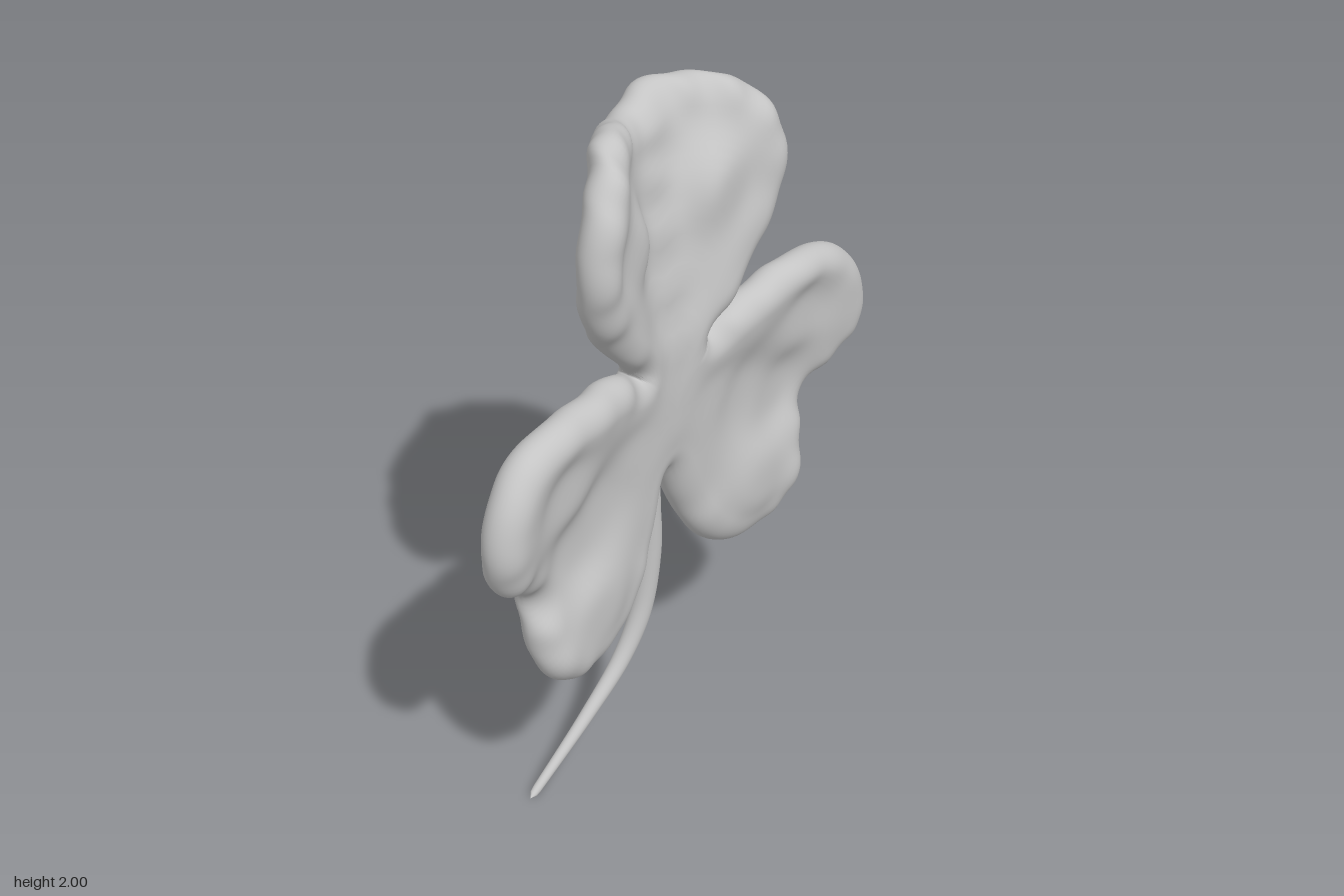
import * as THREE from 'three';

const grey = new THREE.MeshStandardMaterial({ color: 0xc4c4c4 });
grey.name = 'plain grey';

// Rim points (x, y, z), counterclockwise; each leaf starts in a gap and has 17 points
const leftLeaf = [
  [-0.03, 0.94, 0.02], [0.04, 0.8, 0.02], [0.13, 0.64, 0.035], [0.24, 0.555, 0.035],
  [0.36, 0.525, 0.03], [0.47, 0.555, 0.05], [0.54, 0.66, 0.08], [0.565, 0.79, 0.06],
  [0.6, 0.88, 0.02], [0.7, 0.96, 0.07], [0.77, 1.03, 0.1], [0.795, 1.12, 0.105],
  [0.76, 1.24, 0.105], [0.66, 1.34, 0.1], [0.5, 1.38, 0.1], [0.33, 1.365, 0.09], [0.22, 1.335, 0.07],
];
const topLeaf = [
  [0.13, 1.3, 0.04], [0.29, 1.44, 0.05], [0.38, 1.57, 0.07], [0.425, 1.72, 0.08],
  [0.4, 1.85, 0.06], [0.32, 1.94, 0], [0.2, 1.975, -0.07], [0.1, 1.98, -0.115],
  [0, 1.95, -0.1], [-0.06, 1.95, -0.07], [-0.14, 1.985, -0.01], [-0.23, 2, 0.03],
  [-0.33, 1.95, 0.09], [-0.4, 1.84, 0.11], [-0.42, 1.7, 0.11], [-0.38, 1.56, 0.09], [-0.3, 1.45, 0.06],
];
const rightLeaf = [
  [-0.17, 1.31, 0.04], [-0.25, 1.355, 0.07], [-0.4, 1.375, 0.09], [-0.55, 1.38, 0.1],
  [-0.68, 1.35, 0.1], [-0.77, 1.25, 0.105], [-0.8, 1.12, 0.105], [-0.76, 1, 0.09],
  [-0.66, 0.92, 0.05], [-0.6, 0.86, 0.02], [-0.61, 0.75, 0.06], [-0.575, 0.62, 0.08],
  [-0.49, 0.55, 0.07], [-0.38, 0.53, 0.05], [-0.25, 0.565, 0.04], [-0.16, 0.65, 0.035], [-0.08, 0.79, 0.02],
];
// Hub, then the valley folds and lobe middles inside the leaves
const inner = [
  [-0.03, 1.15, 0.03],
  [-0.03, 1.3, 0.025], [-0.03, 1.45, 0], [-0.03, 1.6, -0.025], [-0.02, 1.75, -0.055], [0.02, 1.86, -0.085],
  [0.2, 1.7, 0.03], [-0.22, 1.7, 0.05],
  [0.13, 1.1, 0.025], [0.28, 1.04, 0.01], [0.44, 0.96, 0.01], [0.5, 1.2, 0.06], [0.34, 0.72, 0.06],
  [-0.18, 1.09, 0.025], [-0.32, 1.02, 0.01], [-0.47, 0.94, 0.01], [-0.52, 1.18, 0.06], [-0.38, 0.72, 0.06],
];
const leafMiddles = [[0.36, 1.01], [-0.02, 1.62], [-0.4, 0.99]];

// Cushion spanned by bowed rays from the hub to the rim, rounded at the edge
function leavesGeometry() {
  const PER_LEAF = 119, N = PER_LEAF * 3, RINGS = 30, HALF = 0.063, ROUND = 0.075;
  const knots = [...leftLeaf, ...topLeaf, ...rightLeaf];
  const curve = new THREE.CatmullRomCurve3(knots.map((p) => new THREE.Vector3(...p)), true);
  const rim = Array.from({ length: N }, (_, i) => curve.getPoint(i / N));
  const [hx, hy] = inner[0];

  // Height of the middle surface, blended from all known points
  const field = [...knots, ...inner];
  const middle = (x, y) => {
    let sum = 0, total = 0;
    for (const [px, py, pz] of field) {
      const w = 1 / ((px - x) ** 2 + (py - y) ** 2 + 0.003) ** 2;
      sum += w * pz;
      total += w;
    }
    return sum / total;
  };
  const halfThickness = (x, y) => {
    let d2 = Infinity;
    for (let i = 0; i < N; i++) {
      const a = rim[i], b = rim[(i + 1) % N];
      const ex = b.x - a.x, ey = b.y - a.y;
      const t = THREE.MathUtils.clamp(((x - a.x) * ex + (y - a.y) * ey) / (ex * ex + ey * ey), 0, 1);
      d2 = Math.min(d2, (a.x + ex * t - x) ** 2 + (a.y + ey * t - y) ** 2);
    }
    const k = 1 - Math.min(Math.sqrt(d2) / ROUND, 1);
    return HALF * Math.sqrt(1 - k * k);
  };
  // Rays bow towards the middle of their leaf and run straight at the gaps
  const rayPoint = (i, s) => {
    const p = rim[i], f = (i % PER_LEAF) / PER_LEAF;
    const [mx, my] = leafMiddles[Math.floor(i / PER_LEAF)];
    const bow = 0.6 * Math.min(1, 4 * f, 4 * (1 - f));
    const cx = THREE.MathUtils.lerp((hx + p.x) / 2, mx, bow);
    const cy = THREE.MathUtils.lerp((hy + p.y) / 2, my, bow);
    const a = (1 - s) ** 2, b = 2 * s * (1 - s), c = s * s;
    return [a * hx + b * cx + c * p.x, a * hy + b * cy + c * p.y];
  };

  const hz = middle(hx, hy);
  const pos = [hx, hy, hz + HALF, hx, hy, hz - HALF];
  const index = [];
  const front = (r, i) => (r === 0 ? 0 : 2 + (r - 1) * 2 * N + (i % N));
  // Both sides share the outermost ring
  const back = (r, i) => (r === 0 ? 1 : r === RINGS ? front(r, i) : front(r, i) + N);

  for (let r = 1; r <= RINGS; r++) {
    const s = Math.sin((r / RINGS) * Math.PI / 2);
    const ring = rim.map((_, i) => {
      const [x, y] = rayPoint(i, s);
      return [x, y, middle(x, y), r === RINGS ? 0 : halfThickness(x, y)];
    });
    for (const [x, y, z, h] of ring) pos.push(x, y, z + h);
    if (r < RINGS) for (const [x, y, z, h] of ring) pos.push(x, y, z - h);
  }
  for (let r = 0; r < RINGS; r++) {
    for (let i = 0; i < N; i++) {
      index.push(front(r, i), front(r + 1, i), front(r + 1, i + 1));
      index.push(back(r, i), back(r + 1, i + 1), back(r + 1, i));
      if (r > 0) {
        index.push(front(r, i), front(r + 1, i + 1), front(r, i + 1));
        index.push(back(r, i), back(r, i + 1), back(r + 1, i + 1));
      }
    }
  }
  const geo = new THREE.BufferGeometry();
  geo.setAttribute('position', new THREE.Float32BufferAttribute(pos, 3));
  geo.setIndex(index);
  geo.computeVertexNormals();
  return geo;
}

// Curved tube that rises out of the hub and shrinks towards a rounded tip
function stemGeometry() {
  const path = new THREE.CatmullRomCurve3([
    [-0.03, 1.34, 0.02], [-0.03, 1.2, 0], [-0.025, 1.06, -0.037], [-0.015, 0.9, -0.037], [0.008, 0.76, -0.035],
    [0.016, 0.62, -0.035], [-0.01, 0.42, -0.045], [-0.08, 0.28, -0.062],
    [-0.21, 0.16, -0.08], [-0.45, 0.005, -0.098],
  ].map((p) => new THREE.Vector3(...p)));
  const radii = [0.03, 0.068, 0.072, 0.05, 0.038, 0.035, 0.031, 0.026, 0.02, 0.012];
  const STEPS = 90, SIDES = 20;
  const geo = new THREE.TubeGeometry(path, STEPS, 1, SIDES, false);
  const pos = geo.attributes.position, v = new THREE.Vector3();
  for (let i = 0; i <= STEPS; i++) {
    const u = i / STEPS, centre = path.getPointAt(u);
    const t = path.getUtoTmapping(u) * (radii.length - 1);
    const a = Math.min(Math.floor(t), radii.length - 2);
    const tip = Math.sqrt(Math.min(1, (1 - u) / 0.015));
    const radius = THREE.MathUtils.lerp(radii[a], radii[a + 1], t - a) * tip;
    for (let j = 0; j <= SIDES; j++) {
      const k = i * (SIDES + 1) + j;
      v.fromBufferAttribute(pos, k).sub(centre).multiplyScalar(radius).add(centre);
      pos.setXYZ(k, v.x, Math.max(v.y, 0), v.z);
    }
  }
  return geo;
}

export function createModel() {
  const model = new THREE.Group();
  model.name = 'clover';
  const add = (name, geometry) => {
    const mesh = new THREE.Mesh(geometry, grey);
    mesh.name = name;
    model.add(mesh);
  };
  add('leaves', leavesGeometry());
  add('stem', stemGeometry());
  return model;
}
